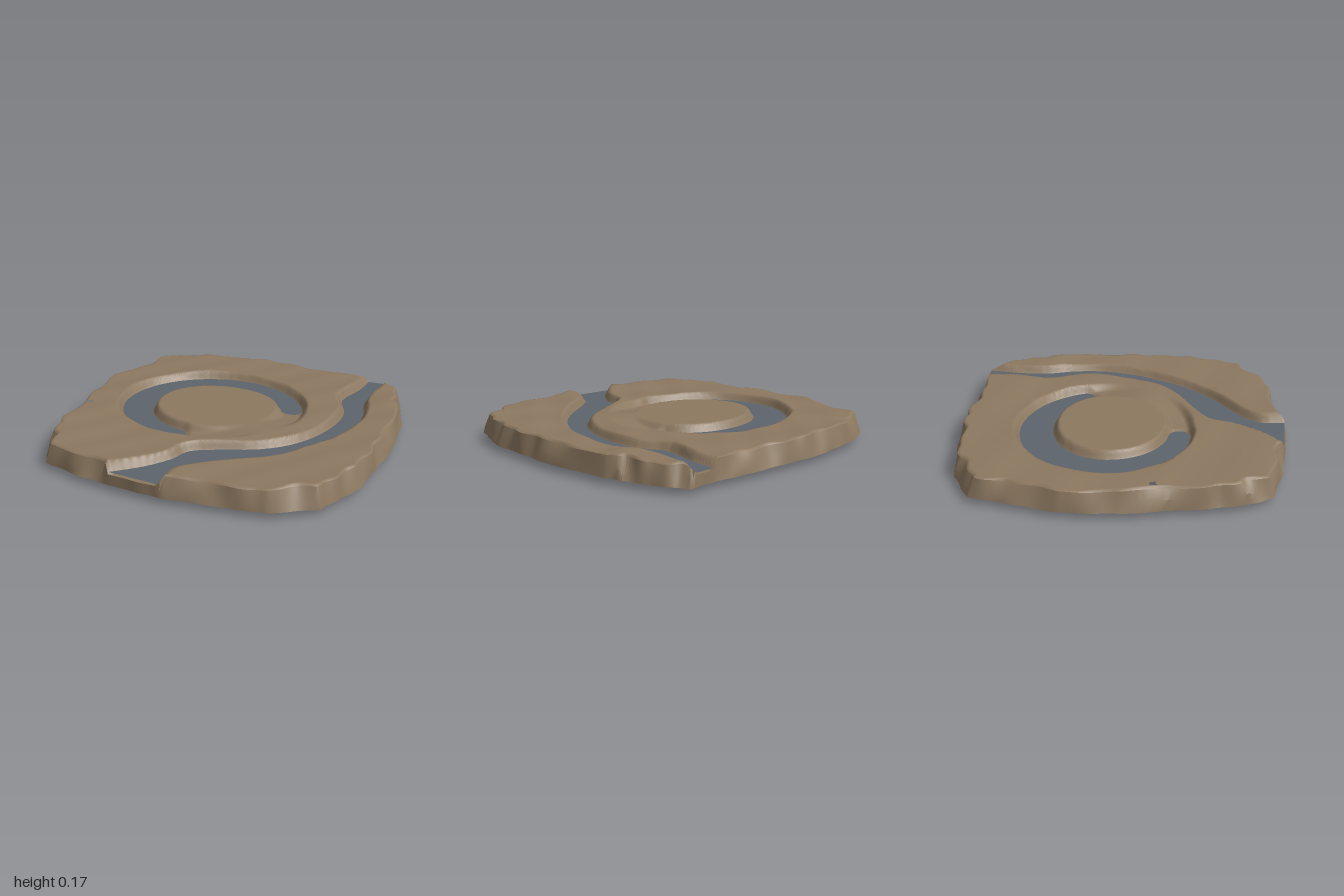
import * as THREE from 'three';
import { toCreasedNormals } from 'three/addons/utils/BufferGeometryUtils.js';

const TOP = 0.16, BED = 0.102, WATER = 0.114;
const V = (x, z) => new THREE.Vector2(x, z);
const { smoothstep, clamp, lerp } = THREE.MathUtils;

// Outer edge of the slab as x, z corners, clockwise seen from above
const EDGE = [
  [-0.83, -0.85], [-0.6, -0.96], [-0.38, -0.98], [-0.16, -1], [0.08, -0.985], [0.38, -0.955],
  [0.62, -0.92], [0.815, -0.92], [0.895, -0.745], [0.945, -0.57], [0.98, -0.45], [1, -0.01],
  [0.975, 0.24], [0.95, 0.5], [0.885, 0.645], [0.815, 0.815], [0.565, 0.95], [0.3, 0.975],
  [-0.01, 1], [-0.24, 0.97], [-0.56, 0.92], [-0.83, 0.83], [-0.9, 0.68], [-0.95, 0.46],
  [-1, 0], [-0.99, -0.35], [-0.905, -0.62],
];
// The two banks of the river, from back to front
const WEST = [[0.645, -0.92], [0.625, -0.75], [0.565, -0.53], [0.63, -0.345], [0.635, -0.16], [0.58, 0.055],
  [0.47, 0.245], [0.31, 0.375], [0.11, 0.455], [-0.05, 0.54], [-0.1, 0.67], [-0.21, 0.82], [-0.36, 0.95]];
const EAST = [[0.765, -0.92], [0.725, -0.75], [0.71, -0.53], [0.75, -0.345], [0.75, -0.13], [0.685, 0.085],
  [0.58, 0.27], [0.465, 0.43], [0.295, 0.575], [0.08, 0.715], [-0.035, 0.83], [-0.045, 0.99]];

const spline = (pts) => new THREE.SplineCurve(pts.map((p) => V(...p))).getPoints(36);

// Moat centre line, a three-quarter ellipse
const MOAT = { x: -0.145, z: -0.09, rx: 0.492, rz: 0.435, from: 1.61, to: 6.06 };
// Peg hole near the left rim
const HOLE = { x: -0.893, z: 0.165, r: 0.019 };

function moatOutline() {
  const outer = [], inner = [], n = 60;
  for (let i = 0; i <= n; i++) {
    const t = (1 - Math.cos((Math.PI * i) / n)) / 2, a = lerp(MOAT.from, MOAT.to, t);
    // Half width, rounded off at both ends
    const end = Math.min(t, 1 - t) * 2.05;
    const w = lerp(0.064, 0.102, smoothstep(end, 0, 0.7)) * Math.sqrt(1 - (1 - clamp(end / 0.06, 0, 1)) ** 2);
    const at = (k) => V(MOAT.x + Math.cos(a) * (MOAT.rx + k), MOAT.z + Math.sin(a) * (MOAT.rz + k));
    outer.push(at(w));
    inner.unshift(at(-w));
  }
  return [...outer, ...inner.slice(1, -1)];
}

// Signed distance to a polygon, negative inside
function distance(poly, x, z) {
  let best = Infinity, inside = false;
  for (let i = 0, j = poly.length - 1; i < poly.length; j = i++) {
    const a = poly[i], b = poly[j], ex = b.x - a.x, ez = b.y - a.y;
    const t = clamp(((x - a.x) * ex + (z - a.y) * ez) / (ex * ex + ez * ez || 1), 0, 1);
    best = Math.min(best, Math.hypot(x - a.x - ex * t, z - a.y - ez * t));
    if ((a.y > z) !== (b.y > z) && x < (ex * (z - a.y)) / ez + a.x) inside = !inside;
  }
  return inside ? -best : best;
}

// Joins rings of [x, y, z] points into a surface
function ringSurface(rings, keep = () => true) {
  const n = rings[0].length, index = [];
  const add = (...t) => { if (keep(t.map((k) => rings[Math.floor(k / n)][k % n]))) index.push(...t); };
  for (let i = 0; i < rings.length - 1; i++) {
    for (let j = 0; j < n; j++) {
      const a = i * n + j, b = i * n + ((j + 1) % n), c = a + n, d = b + n;
      add(a, d, c);
      add(a, b, d);
    }
  }
  const g = new THREE.BufferGeometry();
  g.setAttribute('position', new THREE.Float32BufferAttribute(rings.flat(2), 3));
  g.setIndex(index);
  g.computeVertexNormals();
  return g;
}

function flatPlate(points, y) {
  const g = new THREE.ShapeGeometry(new THREE.Shape(points.map((p) => V(p.x, -p.y))));
  return g.rotateX(-Math.PI / 2).translate(0, y, 0);
}

export function createModel() {
  const group = new THREE.Group();
  const earth = new THREE.MeshStandardMaterial({ name: 'earth brown', color: 0x8c7860 });
  const water = new THREE.MeshStandardMaterial({ name: 'slate water', color: 0x5c646b });
  const under = new THREE.MeshStandardMaterial({ name: 'black underside', color: 0x050505 });
  const add = (name, geometry, material) => {
    const mesh = new THREE.Mesh(geometry, material);
    mesh.name = name;
    group.add(mesh);
  };

  const west = spline(WEST), east = spline(EAST).reverse();
  const river = [...west, ...east];
  const riverCut = [V(0.645, -1.1), ...west, V(-0.42, 1.1), V(-0.045, 1.1), ...east, V(0.765, -1.1)];
  const moat = moatOutline();

  // Subdivided outer edge, slightly wavy between its corners
  const edge = EDGE.flatMap((p, i) => {
    const q = EDGE[(i + 1) % EDGE.length];
    return Array.from({ length: 11 }, (_, k) => {
      const s = 1 + 0.006 * Math.sin((Math.PI * k) / 11) * Math.sin(i * 2.3 + k * 0.5);
      return [clamp(lerp(p[0], q[0], k / 11) * s, -1, 1), clamp(lerp(p[1], q[1], k / 11) * s, -1, 1)];
    });
  });

  // Ground height: gentle lumps cut by the river, the moat and its fading dry ends
  const height = (x, z) => {
    const u = (x - MOAT.x) / MOAT.rx, v = (z - MOAT.z) / MOAT.rz, q = Math.hypot(u, v);
    const lumps = 0.003 * Math.sin(7 * x + 3 * z) + 0.003 * Math.sin(13 * z - 6 * x + 1) + 0.0025 * Math.sin(19 * x + 15 * z);
    const knoll = 0.012 * Math.exp(-((x - 0.87) ** 2 + (z + 0.46) ** 2) / 0.006);
    const land = TOP + (lumps + knoll) * smoothstep(q, 0.9, 1.4);
    const fade = smoothstep(Math.abs(Math.atan2(v, u) - 0.62), 0.02, 0.85);
    const groove = 0.042 * fade * (1 - smoothstep(Math.abs(q - 1) * 0.46, 0.045, 0.095));
    const cut = Math.min(distance(riverCut, x, z), distance(moat, x, z));
    return lerp(BED, land - groove, smoothstep(cut, -0.008, 0.036));
  };

  // Chipped rim: how far the top edge sits in from the foot of the wall
  const inset = edge.map(([x, z], j) => {
    const chips = 0.036 + 0.012 * Math.sin(j * 0.27) + 0.008 * Math.sin(j * 0.63 + 2);
    return chips * smoothstep(distance(riverCut, x, z), 0, 0.05);
  });

  // Land surface, with points near the peg hole moved onto its rim
  const rings = [];
  const steps = 100;
  for (let i = 0; i <= steps; i++) {
    rings.push(edge.map((p, j) => {
      const s = (i / steps) * (1 - inset[j]);
      let x = p[0] * s, z = p[1] * s;
      const dx = x - HOLE.x, dz = z - HOLE.z, d = Math.hypot(dx, dz);
      if (d > 0.011 && d < 0.029) {
        x = HOLE.x + (dx * HOLE.r) / d;
        z = HOLE.z + (dz * HOLE.r) / d;
      }
      const drop = i === steps ? inset[j] * 0.25 : 0;
      return [x, height(x, z) - drop, z];
    }));
  }
  const outsideHole = (t) => {
    const mid = (k) => (t[0][k] + t[1][k] + t[2][k]) / 3;
    return Math.hypot(mid(0) - HOLE.x, mid(2) - HOLE.z) > HOLE.r * 0.97;
  };
  add('land', ringSurface(rings, outsideHole), earth);

  // Rough side wall
  const wall = [
    rings[steps],
    edge.map(([x, z], j) => {
      const s = 1 - inset[j] * (0.35 + 0.15 * Math.sin(j * 0.41));
      return [x * s, 0.088 + 0.012 * Math.sin(j * 0.37), z * s];
    }),
    edge.map(([x, z]) => [x, 0.036, z]),
  ];
  add('sideWall', toCreasedNormals(ringSurface(wall), 0.5), earth);

  // Underside, shallow dish
  const dish = [[1, 0.036], [0.92, 0.031], [0.82, 0.021], [0.66, 0.01], [0.48, 0.002], [0.3, 0], [0, 0]];
  add('underside', ringSurface(dish.map(([s, y]) => edge.map(([x, z]) => [x * s, y, z * s]))), under);

  // Water
  add('river', flatPlate(river, WATER), water);
  add('moat', flatPlate(moat, WATER), water);
  return group;
}
